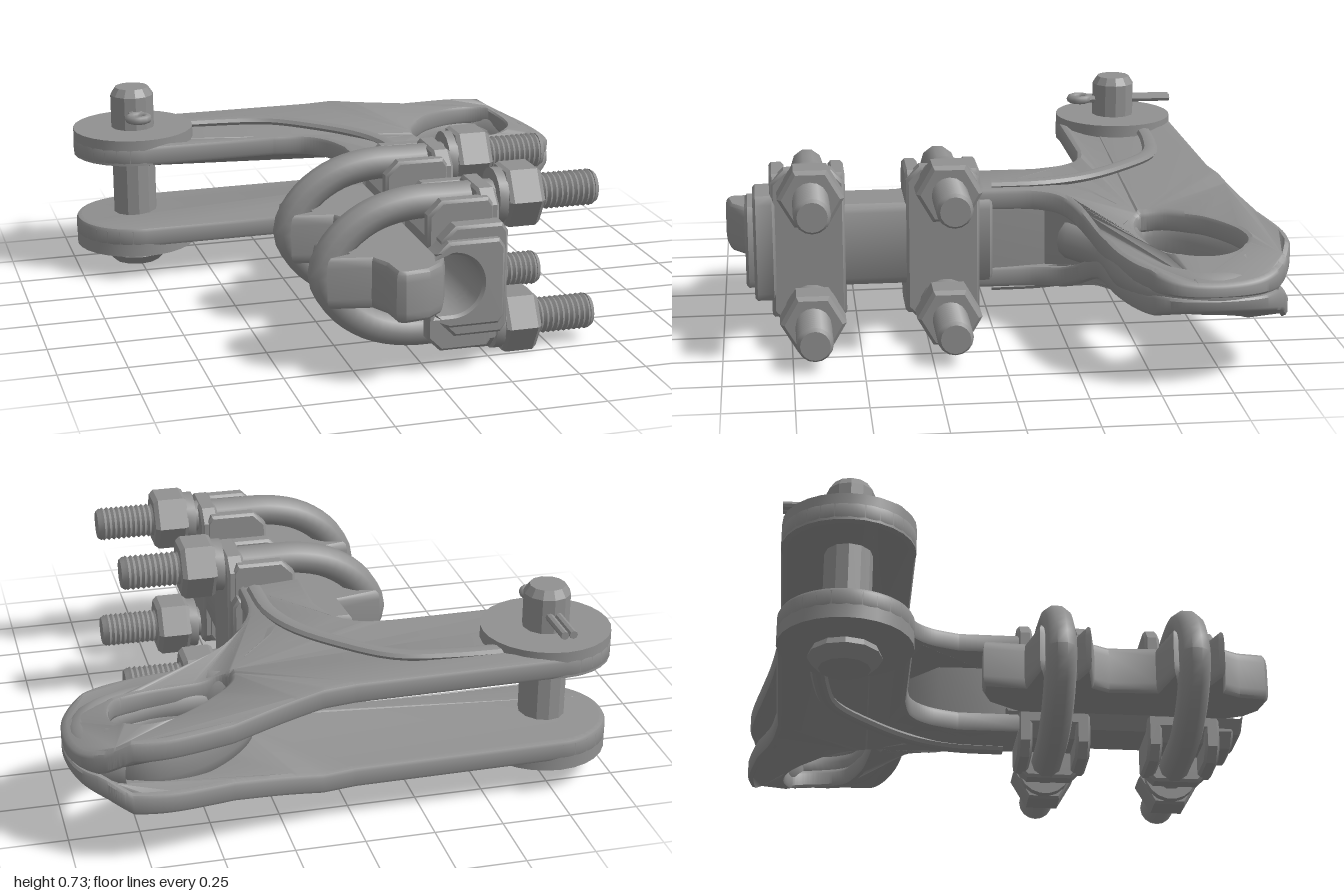
import * as THREE from 'three';
import { toCreasedNormals } from 'three/addons/utils/BufferGeometryUtils.js';

const MID = 0.35; // height of the symmetry plane
const steel = new THREE.MeshStandardMaterial({ color: 0x909090 });
steel.name = 'galvanised steel';

function add(parent, name, geo, crease = 0.6) {
  const mesh = new THREE.Mesh(toCreasedNormals(geo, crease), steel);
  mesh.name = name;
  parent.add(mesh);
  return mesh;
}

const v2 = (pts) => pts.map(([x, z]) => new THREE.Vector2(x, -z));
const v3 = (pts) => pts.map((p) => new THREE.Vector3(...p));

// Plan shape (x, z) raised to a slab whose height runs from 0 to 1
function slab(shape, bevel) {
  const geo = new THREE.ExtrudeGeometry(shape, {
    depth: 0.6, bevelThickness: 0.2, bevelSize: bevel, bevelOffset: -bevel,
    bevelSegments: 2, curveSegments: 24,
  });
  return geo.translate(0, 0, 0.2).rotateX(-Math.PI / 2);
}

function mapHeight(geo, rule) {
  const p = geo.attributes.position;
  for (let i = 0; i < p.count; i++) p.setY(i, rule(p.getX(i), p.getY(i), p.getZ(i)));
  return geo;
}

// Half height of the channel body, falling away towards the eye
const HEIGHTS = [[-1.1, 0.205], [0.12, 0.205], [0.45, 0.15], [0.8, 0.138], [0.88, 0.09], [1.01, 0.04]];
function halfHeight(x, z) {
  let h = 0.04;
  for (let i = 1; i < HEIGHTS.length; i++) {
    const [a, ha] = HEIGHTS[i - 1], [b, hb] = HEIGHTS[i];
    if (x >= a && x <= b) h = ha + (hb - ha) * (x - a) / (b - a);
  }
  const front = THREE.MathUtils.smoothstep(z, -0.75, -0.45) * THREE.MathUtils.smoothstep(x, 0.25, 0.5);
  return THREE.MathUtils.lerp(h, Math.min(h, 0.085), front);
}

function plateShape() {
  const s = new THREE.Shape();
  s.moveTo(-0.765, 0.85);
  s.lineTo(0, 0.86);
  s.splineThru(v2([[0.25, -0.9], [0.5, -0.96], [0.7, -0.99], [0.85, -0.96], [0.96, -0.86], [0.995, -0.7],
    [0.97, -0.55], [0.87, -0.45], [0.7, -0.39], [0.45, -0.35], [0.3, -0.27], [0.23, -0.15], [0.22, 0.05]]));
  s.lineTo(-0.02, -0.05);
  s.lineTo(-0.02, 0.18);
  s.splineThru(v2([[-0.06, -0.29], [-0.13, -0.36], [-0.25, -0.385]]));
  s.lineTo(-0.765, 0.38);
  s.absarc(-0.765, 0.615, 0.235, -Math.PI / 2, Math.PI / 2, true);
  const hole = new THREE.Path();
  hole.moveTo(0.38, 0.53);
  hole.splineThru(v2([[0.43, -0.5], [0.58, -0.515], [0.7, -0.54], [0.8, -0.6], [0.835, -0.7], [0.81, -0.8],
    [0.73, -0.84], [0.62, -0.82], [0.5, -0.74], [0.4, -0.62], [0.38, -0.53]]));
  s.holes.push(hole);
  return s;
}

function buildBody(group) {
  const shape = plateShape();
  for (const side of [1, -1]) {
    const geo = mapHeight(slab(shape, 0.02), (x, t, z) => {
      const h = halfHeight(x, z), inner = Math.max(h - 0.08, 0);
      return side > 0 ? MID + inner + (h - inner) * t : MID - h + (h - inner) * t;
    });
    add(group, side > 0 ? 'upperPlate' : 'lowerPlate', geo);
    // clevis lug and the ridge along the arm
    add(group, 'clevisLug', new THREE.CylinderGeometry(0.235, 0.235, 0.1, 28)
      .translate(-0.765, MID - 0.005 + side * 0.185, -0.615));
    const ridge = new THREE.CatmullRomCurve3(v3([[-0.58, 0, -0.71], [-0.4, 0, -0.7], [-0.2, 0, -0.66],
      [-0.04, 0, -0.53], [0.1, 0, -0.36], [0.16, 0, -0.2], [0.17, 0, 0]]));
    add(group, 'armRidge', new THREE.TubeGeometry(ridge, 24, 0.03, 8)
      .scale(1, 0.6, 1).translate(0, MID + side * 0.197, 0));
  }

  // Wall joining the plates between the neck and the eye
  const web = new THREE.Shape(v2([[0.11, 0.05], [0.22, 0.05], [0.2, -0.2], [0.27, -0.28], [0.42, -0.37],
    [0.42, -0.49], [0.3, -0.46], [0.18, -0.36], [0.11, -0.25]]));
  add(group, 'neckWeb', mapHeight(slab(web, 0.01),
    (x, t, z) => MID + (2 * t - 1) * (halfHeight(x, z) - 0.015)));

  // Eye: round front bar and a deeper wall round the opening
  const bar = new THREE.CatmullRomCurve3(v3([[0.24, 0, -0.3], [0.43, 0, -0.42], [0.7, 0, -0.46],
    [0.85, 0, -0.53], [0.915, 0, -0.67], [0.88, 0, -0.82], [0.78, 0, -0.88]]));
  add(group, 'eyeBar', new THREE.TubeGeometry(bar, 32, 0.078, 12).translate(0, MID, 0), 0.8);
  const back = new THREE.CatmullRomCurve3(v3([[0.86, 0, -0.8], [0.74, 0, -0.88], [0.6, 0, -0.86],
    [0.46, 0, -0.77], [0.35, 0, -0.63], [0.34, 0, -0.52], [0.44, 0, -0.46]]));
  add(group, 'eyeWall', new THREE.TubeGeometry(back, 28, 0.045, 10)
    .scale(1, 2.5, 1).translate(0, MID, 0), 0.8);
}

function buildPin(group) {
  const pin = new THREE.Group();
  pin.name = 'clevisPin';
  pin.position.set(-0.765, 0, -0.615);
  group.add(pin);
  const profile = [[0, 0.03], [0.09, 0.03], [0.13, 0.07], [0.12, 0.095], [0.085, 0.1],
    [0.085, 0.71], [0.065, 0.74], [0, 0.74]].map((p) => new THREE.Vector2(...p));
  add(pin, 'pinShaft', new THREE.LatheGeometry(profile, 12), 0.4);
  // split pin
  for (const x of [-0.016, 0.016]) {
    add(pin, 'splitPinLeg', new THREE.CylinderGeometry(0.015, 0.015, 0.34, 8)
      .rotateX(Math.PI / 2).translate(x, 0.645, -0.065));
  }
  add(pin, 'splitPinLoop', new THREE.TorusGeometry(0.036, 0.017, 8, 12)
    .rotateX(Math.PI / 2).translate(0, 0.645, 0.14), 1);
}

// Channel section open towards -x, drawn across x and y
function channel(x0, x1, half, z0, z1) {
  const r = 0.11, cut = 0.06, c = Math.min(0.05, half * 0.3);
  const s = new THREE.Shape();
  s.moveTo(x0, MID + r);
  s.lineTo(x0, MID + half - c);
  s.lineTo(x0 + c, MID + half);
  s.lineTo(x1 - 0.02, MID + half);
  s.lineTo(x1, MID + half - 0.03);
  s.lineTo(x1, MID - half + 0.03);
  s.lineTo(x1 - 0.02, MID - half);
  s.lineTo(x0 + c, MID - half);
  s.lineTo(x0, MID - half + c);
  s.lineTo(x0, MID - r);
  s.lineTo(cut, MID - r);
  s.absarc(cut, MID, r, -Math.PI / 2, Math.PI / 2, false);
  const b = 0.01;
  return new THREE.ExtrudeGeometry(s, {
    depth: z1 - z0 - 2 * b, bevelThickness: b, bevelSize: b, bevelOffset: -b, bevelSegments: 1, curveSegments: 14,
  }).translate(0, 0, z0 + b);
}

function buildClampBody(group) {
  add(group, 'cableTrough', channel(0, 0.25, 0.155, 0, 0.91));
  add(group, 'troughEnd', channel(0.03, 0.27, 0.2, 0.8, 0.88));
  for (const z of [0.185, 0.68]) {
    add(group, 'boltPad', channel(0, 0.25, 0.195, z - 0.12, z + 0.12));
    for (const d of [-0.11, 0.11]) {
      add(group, 'padRidge', channel(0, 0.24, 0.275, z + d - 0.028, z + d + 0.028));
    }
    // bearing flange behind the nuts
    const w = 0.135, h = 0.295, c = 0.05;
    const s = new THREE.Shape([[-w, -h + c], [-w + c, -h], [w - c, -h], [w, -h + c], [w, h - c], [w - c, h],
      [-w + c, h], [-w, h - c]].map((p) => new THREE.Vector2(...p)));
    add(group, 'padFlange', new THREE.ExtrudeGeometry(s, {
      depth: 0.05, bevelThickness: 0.01, bevelSize: 0.01, bevelOffset: -0.01, bevelSegments: 1,
    }).rotateY(Math.PI / 2).translate(0.2, MID, z));
  }

  // Pressure piece with a saddle under each U-bolt
  const pts = [[-0.11, -0.1], [-0.19, -0.1]];
  for (const z of [0.185, 0.68]) {
    pts.push([-0.18, z - 0.13], [-0.35, z - 0.09], [-0.34, z - 0.07], [-0.27, z - 0.055], [-0.27, z + 0.055],
      [-0.34, z + 0.08], [-0.35, z + 0.1], [-0.2, z + 0.13], [-0.17, z + 0.19]);
  }
  pts.push([-0.16, 0.97], [-0.13, 0.985], [-0.04, 0.97], [0.02, 0.92], [0.05, 0.85], [0.05, 0.05], [-0.03, -0.07]);
  add(group, 'pressurePiece', mapHeight(slab(new THREE.Shape(v2(pts)), 0.012),
    (x, t) => MID + (2 * t - 1) * 0.092));
}

function buildUBolt(group, z, shift) {
  const bolt = new THREE.Group();
  bolt.name = 'uBolt';
  bolt.position.set(0, MID, z);
  group.add(bolt);
  const half = [[0.3, 0.235], [0.12, 0.235], [-0.04, 0.232], [-0.17, 0.195], [-0.28, 0.11]];
  const path = [...half.map(([x, y]) => [x, y, 0]), [-0.33, 0, 0],
    ...half.slice().reverse().map(([x, y]) => [x, -y, 0])];
  add(bolt, 'uBoltBend', new THREE.TubeGeometry(new THREE.CatmullRomCurve3(v3(path)), 40, 0.06, 10), 0.7);

  // threaded end with zigzag profile
  const thread = [[0, 0.28], [0.06, 0.28]];
  for (let x = 0.38; x < 0.645; x += 0.02) thread.push([0.066, x], [0.058, x + 0.01]);
  thread.push([0.064, 0.65], [0.054, 0.665], [0, 0.665]);
  for (const side of [1, -1]) {
    const y = side * 0.235;
    add(bolt, 'threadedEnd', new THREE.LatheGeometry(thread.map((p) => new THREE.Vector2(...p)), 16)
      .rotateZ(-Math.PI / 2).translate(shift, y, 0), 0.5);
    add(bolt, 'springWasher', new THREE.CylinderGeometry(0.1, 0.1, 0.035, 18)
      .rotateZ(-Math.PI / 2).translate(0.295 + shift, y, 0));
    const nut = [[0, 0.31], [0.112, 0.31], [0.12, 0.325], [0.12, 0.425], [0.105, 0.442], [0, 0.442]];
    add(bolt, 'hexNut', new THREE.LatheGeometry(nut.map((p) => new THREE.Vector2(...p)), 6)
      .rotateZ(-Math.PI / 2).translate(shift, y, 0), 0.3);
  }
}

export function createModel() {
  const model = new THREE.Group();
  model.name = 'strainClamp';
  buildBody(model);
  buildPin(model);
  buildClampBody(model);
  buildUBolt(model, 0.175, -0.015);
  buildUBolt(model, 0.672, 0);
  return model;
}
